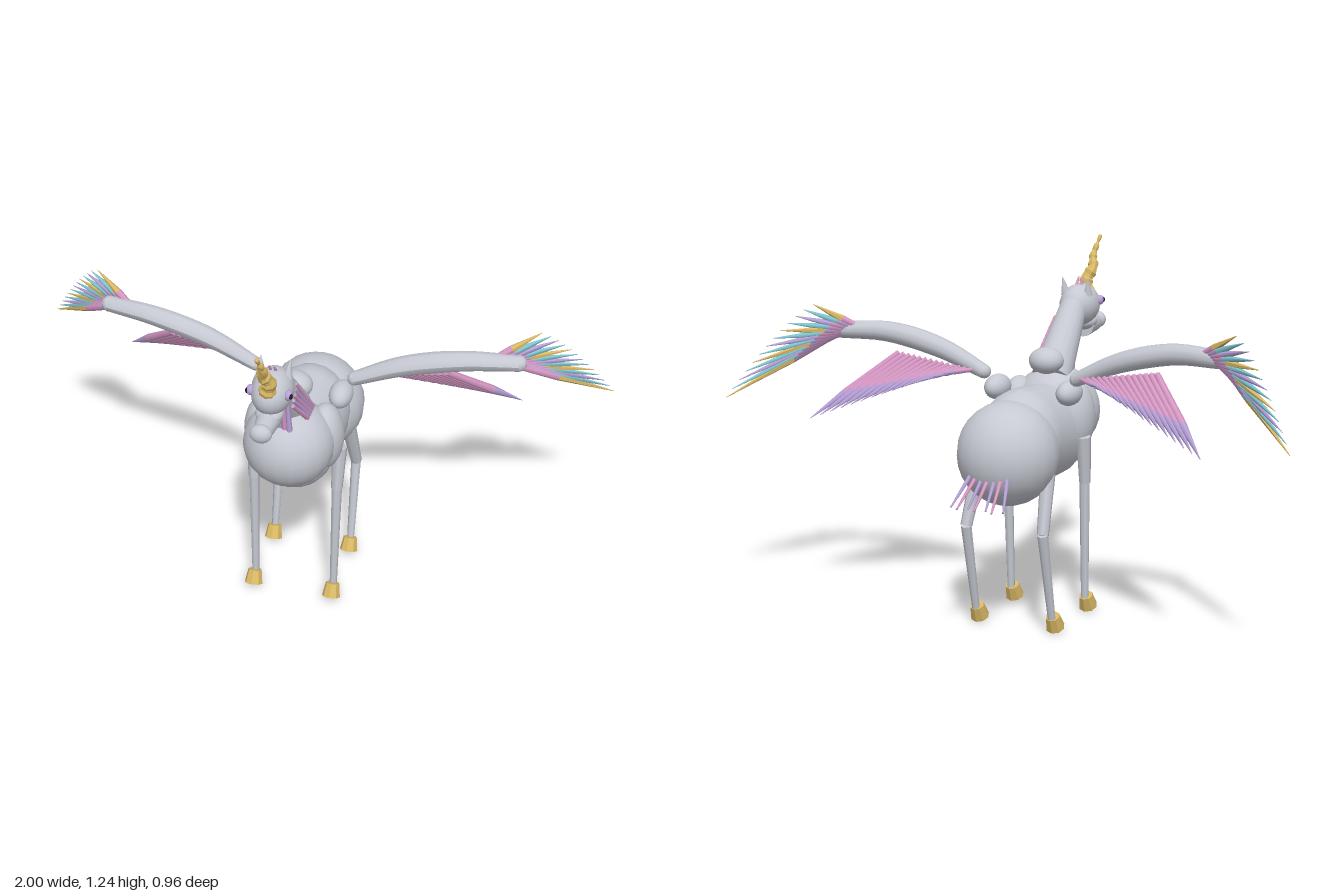
import * as THREE from 'three';

const V = (x, y, z) => new THREE.Vector3(x, y, z);
const mat = (name, color, flatShading = false) => {
  const m = new THREE.MeshStandardMaterial({ color, flatShading });
  m.name = name;
  return m;
};

export function createModel() {
  const root = new THREE.Group();
  root.name = 'wingedHornedHorse';
  const coat = mat('coat grey', 0xc6c9d2);
  const gold = mat('gold', 0xd8b765, true);
  const pink = mat('pink', 0xd99ac6);
  const lilac = mat('lilac', 0xb9a3da);
  const teal = mat('teal', 0x82c8d4);
  const black = mat('pupil black', 0x1c1a22);

  const add = (name, geo, m, parent = root) => {
    const mesh = new THREE.Mesh(geo, m);
    mesh.name = name;
    parent.add(mesh);
    return mesh;
  };
  const ball = (name, c, rx, ry, rz, m = coat, parent = root, seg = 20) => {
    const mesh = add(name, new THREE.SphereGeometry(1, seg, Math.ceil(seg * 0.7)), m, parent);
    mesh.position.copy(c);
    mesh.scale.set(rx, ry, rz);
    return mesh;
  };
  // Tapered rod from a (radius ra) to b (radius rb)
  const rod = (name, a, b, ra, rb, m = coat, parent = root, seg = 8) => {
    const d = b.clone().sub(a);
    const mesh = add(name, new THREE.CylinderGeometry(rb, ra, d.length(), seg), m, parent);
    mesh.position.copy(a).addScaledVector(d, 0.5);
    mesh.quaternion.setFromUnitVectors(V(0, 1, 0), d.normalize());
    return mesh;
  };
  // Tube along points whose radius follows radius(t)
  const taperTube = (name, pts, radius, n, seg, m, parent = root) => {
    const curve = new THREE.CatmullRomCurve3(pts);
    const geo = new THREE.TubeGeometry(curve, n, 1, seg);
    const p = geo.attributes.position;
    for (let i = 0; i < p.count; i++) {
      const t = Math.floor(i / (seg + 1)) / n;
      const c = curve.getPointAt(t);
      const v = V(0, 0, 0).fromBufferAttribute(p, i).sub(c).multiplyScalar(radius(t)).add(c);
      p.setXYZ(i, v.x, v.y, v.z);
    }
    geo.computeVertexNormals();
    return add(name, geo, m, parent);
  };
  // Pointed feather: coloured quill part, then a coloured tip
  const feather = (a, b, split, r, baseMat, tipMat, parent) => {
    const mid = a.clone().lerp(b, split);
    rod('featherBase', a, mid, r * 0.8, r, baseMat, parent, 6);
    rod('featherTip', mid, b, r, 0.001, tipMat, parent, 6);
  };

  // Torso
  ball('chest', V(0, 0.695, 0.12), 0.152, 0.15, 0.15);
  const barrel = add('barrel', new THREE.CapsuleGeometry(0.155, 0.17, 8, 20), coat);
  barrel.position.set(0, 0.642, -0.05);
  barrel.rotation.x = Math.PI / 2 + 0.06;
  barrel.scale.set(0.92, 1, 1.04);
  ball('rump', V(0, 0.612, -0.24), 0.168, 0.172, 0.167);
  ball('withers', V(0, 0.872, 0.045), 0.06, 0.045, 0.055);

  // Neck and head
  rod('neck', V(0, 0.81, 0.085), V(0, 1.03, 0.262), 0.068, 0.046, coat, root, 16);
  ball('head', V(0, 1.027, 0.31), 0.066, 0.072, 0.09);
  rod('muzzle', V(0, 0.952, 0.335), V(0, 0.95, 0.435), 0.042, 0.03, coat, root, 12);
  ball('nose', V(0, 0.957, 0.448), 0.036, 0.031, 0.027);
  ball('jaw', V(0, 0.965, 0.345), 0.045, 0.03, 0.05);

  // Horn with a small ball at the tip
  taperTube('horn',
    [V(0, 1.06, 0.37), V(0.008, 1.105, 0.382), V(-0.006, 1.145, 0.405), V(0.007, 1.18, 0.435), V(0, 1.245, 0.476)],
    t => 0.028 - 0.023 * t + 0.003 * Math.sin(t * 40), 20, 8, gold);
  ball('hornTip', V(0, 1.245, 0.477), 0.008, 0.008, 0.008, gold, root, 8);

  // Forelock
  for (const x of [-0.008, 0.008]) rod('forelock', V(x, 1.08, 0.29), V(x, 1.122, 0.318), 0.008, 0.002, pink, root, 6);

  // Mane hanging on the left of the neck and under the throat
  const mane = new THREE.Group();
  mane.name = 'mane';
  root.add(mane);
  for (let i = 0; i < 5; i++) {
    const s = i * 0.016;
    rod('maneLock', V(0.048, 0.995 - s, 0.215 + s * 0.5), V(0.072, 0.832, 0.095 + s), 0.006, 0.01,
      i % 2 ? lilac : pink, mane, 6);
  }
  for (let i = 0; i < 4; i++) {
    rod('throatLock', V(-0.015 + i * 0.014, 0.935, 0.235), V(-0.022 + i * 0.018, 0.82, 0.205 + i * 0.008),
      0.006, 0.01, i % 2 ? lilac : pink, mane, 6);
  }

  // Tail fan
  const tail = new THREE.Group();
  tail.name = 'tail';
  root.add(tail);
  for (let i = -3; i <= 3; i++) {
    rod('tailLock', V(i * 0.022, 0.56, -0.375), V(i * 0.031, 0.472, -0.478 + Math.abs(i % 2) * 0.02),
      0.008, 0.003, i % 2 ? lilac : pink, tail, 6);
  }

  for (const s of [1, -1]) {
    const side = s > 0 ? 'left' : 'right';

    // Face
    ball(side + 'Eye', V(s * 0.061, 1.042, 0.345), 0.013, 0.017, 0.019, lilac, root, 12);
    ball(side + 'Pupil', V(s * 0.069, 1.043, 0.352), 0.007, 0.009, 0.01, black, root, 10);
    rod(side + 'Ear', V(s * 0.042, 1.065, 0.285), V(s * 0.048, 1.125, 0.272), 0.017, 0.001, coat, root, 8);

    // Shoulder and wing joint
    ball(side + 'Shoulder', V(s * 0.105, 0.69, 0.053), 0.064, 0.122, 0.08);
    ball(side + 'WingJoint', V(s * 0.132, 0.79, -0.055), 0.04, 0.042, 0.063);

    // Legs: upper, lower and hoof
    const leg = (name, top, joint, foot, hoof) => {
      const g = new THREE.Group();
      g.name = side + name;
      root.add(g);
      rod('upperLeg', top, joint, 0.026, 0.02, coat, g, 7);
      rod('lowerLeg', joint, foot, 0.018, 0.013, coat, g, 7);
      rod('hoof', hoof[0], hoof[1], 0.024, 0.032, gold, g, 8);
    };
    leg('FrontLeg', V(s * 0.148, 0.63, 0.022), V(s * 0.145, 0.468, 0.042), V(s * 0.141, 0.06, 0.056),
      [V(s * 0.141, 0.066, 0.064), V(s * 0.141, 0.022, 0.085)]);
    leg('BackLeg', V(s * 0.125, 0.56, -0.2), V(s * 0.14, 0.36, -0.27), V(s * 0.141, 0.06, -0.205),
      [V(s * 0.141, 0.066, -0.197), V(s * 0.141, 0.022, -0.176)]);

    // Wing arm
    const wing = new THREE.Group();
    wing.name = side + 'Wing';
    root.add(wing);
    taperTube('wingArm',
      [V(s * 0.17, 0.842, -0.08), V(s * 0.33, 0.912, -0.09), V(s * 0.52, 0.955, -0.105), V(s * 0.7, 0.955, -0.14)],
      t => 0.024 + 0.016 * Math.sin(Math.min(t * 1.6, 1) * Math.PI / 2) - 0.012 * t * t, 16, 10, coat, wing);
    ball('armRoot', V(s * 0.17, 0.842, -0.08), 0.024, 0.024, 0.024, coat, wing, 10);
    ball('armEnd', V(s * 0.7, 0.955, -0.14), 0.028, 0.028, 0.028, coat, wing, 10);

    // Inner feathers, longest at the outside
    for (let i = 0; i < 14; i++) {
      const t = i / 13;
      feather(V(s * (0.2 + 0.27 * t), 0.85 + 0.04 * t, -0.11 - 0.015 * t),
        V(s * (0.28 + 0.42 * t), 0.84 - 0.16 * t, -0.16 - 0.17 * t),
        0.6, 0.009 + 0.005 * t, pink, lilac, wing);
    }

    // Outer feathers fanning to the wing tip
    const tips = [teal, gold, teal, lilac];
    for (let i = 0; i < 13; i++) {
      const t = i / 12;
      feather(V(s * (0.62 + 0.09 * t), 0.965 - 0.03 * t, -0.13 - 0.02 * t),
        V(s * (0.76 + 0.24 * Math.pow(t, 0.85)), 1.045 - 0.31 * Math.pow(t, 1.15), -0.2 - 0.185 * t),
        0.38, 0.013, i % 3 === 1 ? lilac : pink, tips[(i + 1) % 4], wing);
    }
  }
  return root;
}
